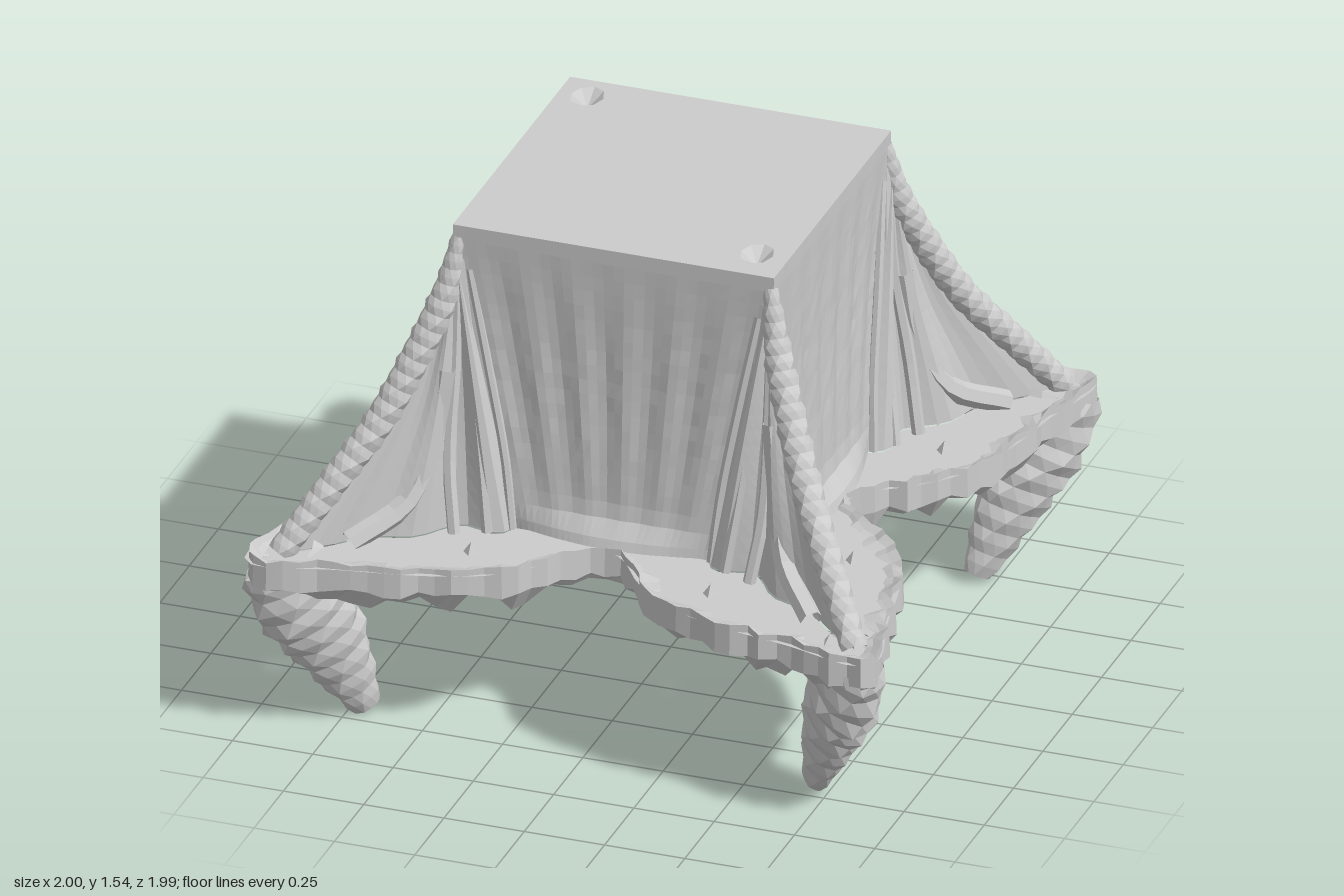
import * as THREE from 'three';

const mat = new THREE.MeshStandardMaterial({ color: 0xcccccc, flatShading: true, side: THREE.DoubleSide });

// Seeded noise in -1..1
let seed = 7;
const rnd = () => ((seed = (seed * 16807) % 2147483647) / 2147483647) * 2 - 1;

// Surface from a grid of points: fn(row, column) gives [x, y, z]
function grid(rows, cols, fn) {
  const pos = [], idx = [];
  for (let i = 0; i <= rows; i++) for (let j = 0; j <= cols; j++) pos.push(...fn(i, j));
  for (let i = 0; i < rows; i++) for (let j = 0; j < cols; j++) {
    const a = i * (cols + 1) + j, b = a + cols + 1;
    idx.push(a, b, a + 1, b, b + 1, a + 1);
  }
  const g = new THREE.BufferGeometry();
  g.setAttribute('position', new THREE.Float32BufferAttribute(pos, 3));
  g.setIndex(idx);
  g.computeVertexNormals();
  return g;
}

function add(parent, name, geometry) {
  const m = new THREE.Mesh(geometry, mat);
  m.name = name;
  parent.add(m);
  return m;
}

// Repeat [x, z] points of one quarter around the vertical axis
function fourfold(quarter) {
  const out = [];
  for (let k = 0; k < 4; k++) {
    const c = Math.round(Math.cos(k * Math.PI / 2)), s = Math.round(Math.sin(k * Math.PI / 2));
    for (const [x, z] of quarter) out.push([x * c + z * s, z * c - x * s]);
  }
  return out;
}

// Points on the corner diagonal: [distance along x and z, height]
const diagonal = pts => new THREE.CatmullRomCurve3(pts.map(([d, y]) => new THREE.Vector3(d, y, d)));
const ropePath = diagonal([[0.485, 1.5], [0.52, 1.31], [0.585, 1.13], [0.665, 0.95], [0.77, 0.78], [0.895, 0.58]]);
const clawPath = diagonal([[0.895, 0.56], [0.865, 0.46], [0.805, 0.32], [0.76, 0.2], [0.725, 0.1], [0.695, 0.02]]);

// Twisted, scaly sweep along a diagonal path; depth widens it along the diagonal
function scaly(path, rows, sides, radius, depth, twist) {
  const side = new THREE.Vector3(1, 0, -1).normalize();
  return grid(rows, sides, (i, j) => {
    const t = i / rows, p = path.getPointAt(t);
    const up = new THREE.Vector3().crossVectors(path.getTangentAt(t), side).normalize();
    const a = ((j % sides) / sides) * Math.PI * 2 + i * twist;
    const r = radius(t) * (i % 2 ? 1.05 : 0.95) * (j % 2 ? 1 : 0.92);
    p.addScaledVector(side, Math.cos(a) * r).addScaledVector(up, Math.sin(a) * r * depth);
    return [p.x, p.y, p.z];
  });
}

// Half width of the flat wall between two drapes at a height
const wallHalf = y => 0.5 - 0.2 * THREE.MathUtils.clamp((1.5 - y) / 0.92, 0, 1);

// Cloth gathered from the walls out to the rope; u = -1..1 across the corner
function drapePoint(t, u) {
  const s = 1 - Math.abs(u), tip = ropePath.getPoint(t);
  const b0 = (1 - s) ** 2, b1 = 2 * s * (1 - s), b2 = s * s;
  const fold = 0.04 * Math.sqrt(t) * Math.sin(s * Math.PI * 5) * (1 - s);
  const p = b0 * 0.5 + b1 * (0.5 + 0.09 * t) + b2 * tip.x + fold;
  const q = b0 * wallHalf(tip.y) + b1 * (0.5 + 0.05 * t) + b2 * tip.x - fold * 0.3;
  return u < 0 ? [p, tip.y, q] : [q, tip.y, p];
}

function buildPetals(group) {
  // Closed outline of the four petals
  const half = [[0, 0.55], [0.06, 0.58], [0.15, 0.7], [0.27, 0.81], [0.45, 0.88], [0.7, 0.93], [0.94, 0.985]];
  const outline = fourfold([...half, ...half.slice(1).reverse().map(([x, z]) => [z, x])]);
  const curve = new THREE.CatmullRomCurve3(outline.map(([x, z]) => new THREE.Vector3(x, 0, z)), true, 'centripetal');
  const n = 180, pts = curve.getSpacedPoints(n).slice(0, n);

  // Flat plate, open under the block and the drapes
  const inner = [];
  for (let j = 0; j <= 32; j++) {
    const [x, , z] = drapePoint(1, 1 - j / 16);
    inner.push([x, z]);
  }
  const shape = new THREE.Shape(pts.map(p => new THREE.Vector2(p.x, -p.z)));
  shape.holes.push(new THREE.Path(fourfold(inner).map(([x, z]) => new THREE.Vector2(x, -z))));
  add(group, 'petalPlate', new THREE.ShapeGeometry(shape).rotateX(-Math.PI / 2)).position.y = 0.58;

  // Rough rim with a ragged, inward-sloping underside: [inward, height, jitter]
  const profile = [[0.03, 0.587, 0.005], [0.003, 0.6, 0.008], [0, 0.51, 0.012], [0.05, 0.47, 0.035], [0.09, 0.5, 0.04], [0.1, 0.565, 0.01]];
  const rows = pts.map((p, i) => {
    const t = curve.getTangentAt(i / n), lump = 0.014 * rnd();
    // Slim where the petals meet
    const slim = THREE.MathUtils.smoothstep(p.length(), 0.55, 0.75) * 0.6 + 0.4;
    return profile.map(([d, y, j]) => {
      const w = d * slim + lump;
      return [p.x + t.z * w, y + j * rnd(), p.z - t.x * w];
    });
  });
  add(group, 'petalRim', grid(n, 6, (i, j) => rows[i % n][j % 6]));
}

// Cloth-covered block, hollow and open below
function buildBlock(group) {
  const block = new THREE.Group();
  block.name = 'block';
  block.position.z = -0.01;
  for (let k = 0; k < 4; k++) {
    const wall = grid(20, 30, (i, j) => {
      const u = j / 15 - 1, y = 1.54 - (i / 20) * 0.98;
      const t = THREE.MathUtils.clamp((1.5 - y) / 0.92, 0, 1);
      const hem = 0.055 * THREE.MathUtils.smoothstep(-y, -0.68, -0.57) * Math.cos(u * Math.PI / 2);
      const inside = Math.abs(u) === 1 ? 0 : Math.sin(t * Math.PI);
      const pleat = inside * (0.006 * Math.sin(u * 19 + k) + 0.0015 * rnd() - 0.01);
      return [u * wallHalf(y), y, 0.5 + hem + pleat];
    });
    add(block, 'wall', wall).rotation.y = k * Math.PI / 2;
  }

  // Lid with two small broken pits
  const lid = new THREE.Shape([[-0.5, -0.5], [0.5, -0.5], [0.5, 0.5], [-0.5, 0.5]].map(a => new THREE.Vector2(...a)));
  for (const [x, z] of [[0.4, 0.37], [-0.41, -0.4]]) {
    const ring = [];
    for (let i = 0; i < 8; i++) {
      const a = -i * Math.PI / 4;
      ring.push(new THREE.Vector2(x + 0.05 * Math.cos(a), -z + 0.065 * Math.sin(a)));
    }
    lid.holes.push(new THREE.Path(ring));
    const pit = add(block, 'pit', new THREE.ConeGeometry(1, 0.04, 8, 1, true).rotateX(Math.PI));
    pit.scale.set(0.05, 1, 0.065);
    pit.position.set(x, 1.52, z);
  }
  add(block, 'lid', new THREE.ShapeGeometry(lid).rotateX(-Math.PI / 2)).position.y = 1.54;
  group.add(block);
}

function buildCorner() {
  const corner = new THREE.Group();
  corner.name = 'corner';
  add(corner, 'drape', grid(18, 32, (i, j) => drapePoint(i / 18, j / 16 - 1)));
  add(corner, 'rope', scaly(ropePath, 44, 10, t => 0.022 + 0.02 * Math.min(1, t * 5) + 0.006 * Math.sin(Math.PI * t), 1, Math.PI / 10));
  add(corner, 'claw', scaly(clawPath, 16, 12,
    t => t < 0.3 ? 0.085 + 0.05 * t : 0.1 - 0.068 * ((t - 0.3) / 0.7) ** 1.3, 1.5, Math.PI / 12));

  // Pleats beside the corner: [radius, path points]
  const pleats = [
    [0.014, [0.45, 1.4, 0.49], [0.39, 1.1, 0.5], [0.335, 0.8, 0.505], [0.31, 0.58, 0.515]],
    [0.018, [0.48, 1.43, 0.49], [0.44, 1.1, 0.505], [0.4, 0.8, 0.53], [0.37, 0.58, 0.56]],
    [0.02, [0.49, 1.44, 0.49], [0.49, 1.1, 0.51], [0.49, 0.8, 0.56], [0.46, 0.58, 0.6]],
    [0.035, [0.53, 1.08, 0.51], [0.56, 0.85, 0.54], [0.64, 0.68, 0.59], [0.78, 0.59, 0.72]],
  ];
  for (const flip of [false, true]) for (const [r, ...pts] of pleats) {
    const path = new THREE.CatmullRomCurve3(pts.map(([x, y, z]) => flip ? new THREE.Vector3(z, y, x) : new THREE.Vector3(x, y, z)));
    add(corner, 'pleat', new THREE.TubeGeometry(path, 12, r, 6));
  }

  // Small studs on the petal
  for (const [x, z] of [[0.7, 0.37], [0.38, 0.71]]) {
    add(corner, 'stud', new THREE.ConeGeometry(0.028, 0.04, 4)).position.set(x, 0.595, z);
  }
  return corner;
}

export function createModel() {
  const group = new THREE.Group();
  group.name = 'drapedBlock';
  buildPetals(group);
  buildBlock(group);
  for (let k = 0; k < 4; k++) {
    const corner = buildCorner();
    corner.rotation.y = k * Math.PI / 2;
    corner.position.z = -0.01;
    group.add(corner);
  }
  return group;
}
